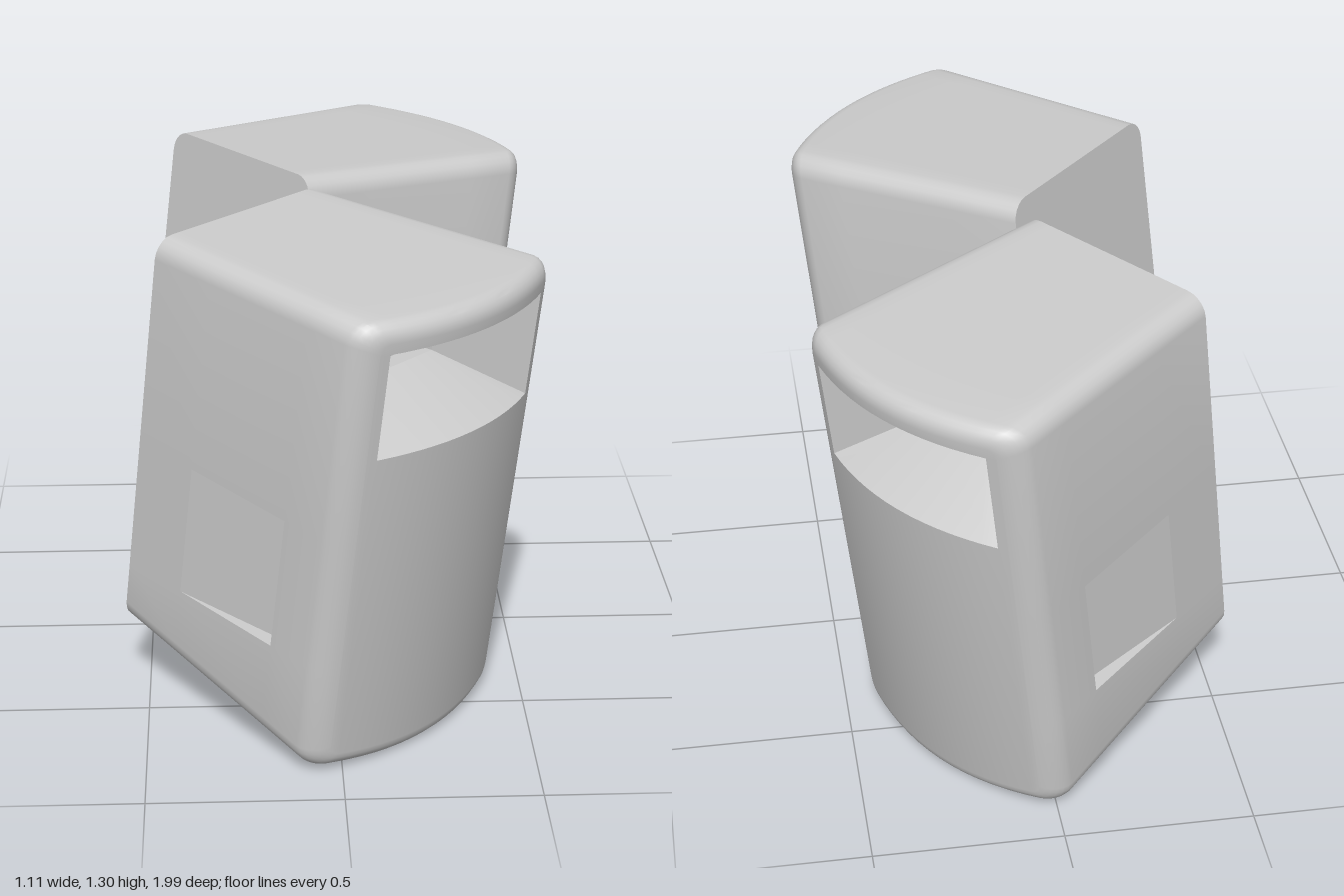
import * as THREE from 'three';
import { toCreasedNormals } from 'three/addons/utils/BufferGeometryUtils.js';

const DEPTH = 0.735, FILLET = 0.05, HALF = 0.368, SAG = 0.09;
const material = new THREE.MeshStandardMaterial({ color: 0xcccccc });

// Collects quads and triangles; the cabinet leans forward by a shear in y
function builder() {
  const pos = [];
  const tri = (...pts) => pts.forEach(([x, y, z]) => pos.push(x, y, z + (y - 1.28) * 0.141));
  const quad = (a, b, c, d) => { tri(a, b, c); tri(a, c, d); };
  const loft = (rings, skip = () => false) => {
    for (let k = 0; k + 1 < rings.length; k++) {
      const A = rings[k], B = rings[k + 1], n = A.length;
      for (let j = 0; j < n; j++) {
        const m = (j + 1) % n;
        if (!skip(k, j)) quad(A[j], A[m], B[m], B[j]);
      }
    }
  };
  const mesh = (name) => {
    const g = new THREE.BufferGeometry();
    g.setAttribute('position', new THREE.Float32BufferAttribute(pos, 3));
    const m = new THREE.Mesh(toCreasedNormals(g, 0.5), material);
    m.name = name;
    return m;
  };
  return { tri, quad, loft, mesh };
}

const topY = (z) => 1.307 - 0.065 * z;
const bottomY = (z) => 0.2 - 0.25 * z;
const bow = (x) => SAG * Math.max(0, 1 - (x / HALF) ** 2);

// Rounded cross-section: upper and lower rows of points from right to left
const CORNER = 5, SPAN = 14;
function section(z, inset = 0) {
  const w = 0.31 + (HALF - 0.31) * Math.min(1, z / (DEPTH - FILLET)) - inset;
  const r = 0.055 - inset * 0.6;
  const cols = [];
  for (let i = 0; i <= CORNER; i++) {
    const a = (i / CORNER) * Math.PI / 2;
    cols.push([w - r + r * Math.cos(a), r - r * Math.sin(a)]);
  }
  for (let i = 1; i < SPAN; i++) cols.push([(w - r) * (1 - 2 * i / SPAN), 0]);
  for (let i = CORNER; i >= 0; i--) cols.push([-cols[i][0], cols[i][1]]);
  const t = Math.min(1, z / (DEPTH - FILLET));
  const row = (edge, s) => cols.map(([x, drop]) => {
    const zz = z + t * bow(x);
    return [x, edge(zz) + s * (inset + drop), zz];
  });
  const top = row(topY, -1), bottom = row(bottomY, 1);
  const side = (x, y) => [x, y - 0.09 * z, z + t * bow(x)];
  const ring = [side(w, 0.38), side(w, 0.74), ...top,
    side(-w, 0.74), side(-w, 0.38), ...bottom.slice().reverse()];
  return { top, bottom, ring };
}

function makeSpeaker(name) {
  const group = new THREE.Group();
  group.name = name;

  // Cabinet: flared shell with rounded front edges
  const body = builder();
  const sections = [0, 0.2, 0.55].map((z) => section(z));
  for (let i = 0; i <= 6; i++) {
    const a = (i / 6) * Math.PI / 2;
    sections.push(section(DEPTH - FILLET + FILLET * Math.sin(a), FILLET * (1 - Math.cos(a))));
  }
  const rings = sections.map((s) => s.ring);
  const leftSide = 2 + sections[0].top.length;
  const pockets = [0, leftSide];
  body.loft(rings, (k, j) => k === 1 && pockets.includes(j));

  // Flat back panel
  const back = sections[0];
  for (let i = 0; i + 1 < back.top.length; i++)
    body.quad(back.bottom[i + 1], back.top[i + 1], back.top[i], back.bottom[i]);

  // Bowed front panel in three bands, open at the horn mouth
  const front = sections[sections.length - 1];
  const at = (i, y) => [front.top[i][0], y, DEPTH + bow(front.top[i][0])];
  const LOW = 0.9, HIGH = 1.18, first = CORNER, last = CORNER + SPAN;
  for (let i = 0; i + 1 < front.top.length; i++) {
    const band = (a, b, c, d) => body.quad(a, b, c, d);
    band(front.bottom[i], at(i, LOW), at(i + 1, LOW), front.bottom[i + 1]);
    band(at(i, HIGH), front.top[i], front.top[i + 1], at(i + 1, HIGH));
    if (i < first || i >= last) band(at(i, LOW), at(i, HIGH), at(i + 1, HIGH), at(i + 1, LOW));
  }
  group.add(body.mesh('cabinet'));

  // Side grips: wedge-shaped recesses, deepest towards the front
  const grips = builder();
  for (const j of pockets) {
    const A = rings[1], B = rings[2], s = j === 0 ? -0.045 : 0.045;
    const [a, b, c, d] = [A[j], A[j + 1], B[j + 1], B[j]];
    const ci = [c[0] + s, c[1], c[2]], di = [d[0] + s, d[1], d[2]];
    grips.quad(a, b, ci, di);
    grips.quad(di, ci, c, d);
    grips.tri(b, c, ci);
    grips.tri(a, di, d);
  }
  group.add(grips.mesh('sideGrips'));

  // Horn: mouth narrowing to a small throat
  const horn = builder();
  const mouth = [];
  for (let i = first; i <= last; i++) mouth.push(at(i, HIGH));
  for (let i = last; i >= first; i--) mouth.push(at(i, LOW));
  const throat = mouth.map(([x, y]) => [x * 0.37, 1.07 + (y - 1.04) * 0.28, 0.59]);
  const deep = throat.map(([x, y]) => [x, y, 0.54]);
  horn.loft([mouth, throat, deep]);
  const n = deep.length;
  for (let i = 0; i < SPAN; i++) horn.quad(deep[n - 1 - i], deep[i], deep[i + 1], deep[n - 2 - i]);
  group.add(horn.mesh('horn'));
  return group;
}

export function createModel() {
  const model = new THREE.Group();
  model.name = 'speakerPair';
  // The two cabinets fan apart from their touching rear corners
  const placements = [['frontSpeaker', -0.24, 0.24, 46.5], ['rearSpeaker', -0.235, -0.285, 126.5]];
  for (const [name, x, z, yaw] of placements) {
    const speaker = makeSpeaker(name);
    speaker.position.set(x, 0, z);
    speaker.rotation.y = THREE.MathUtils.degToRad(yaw);
    model.add(speaker);
  }
  return model;
}
